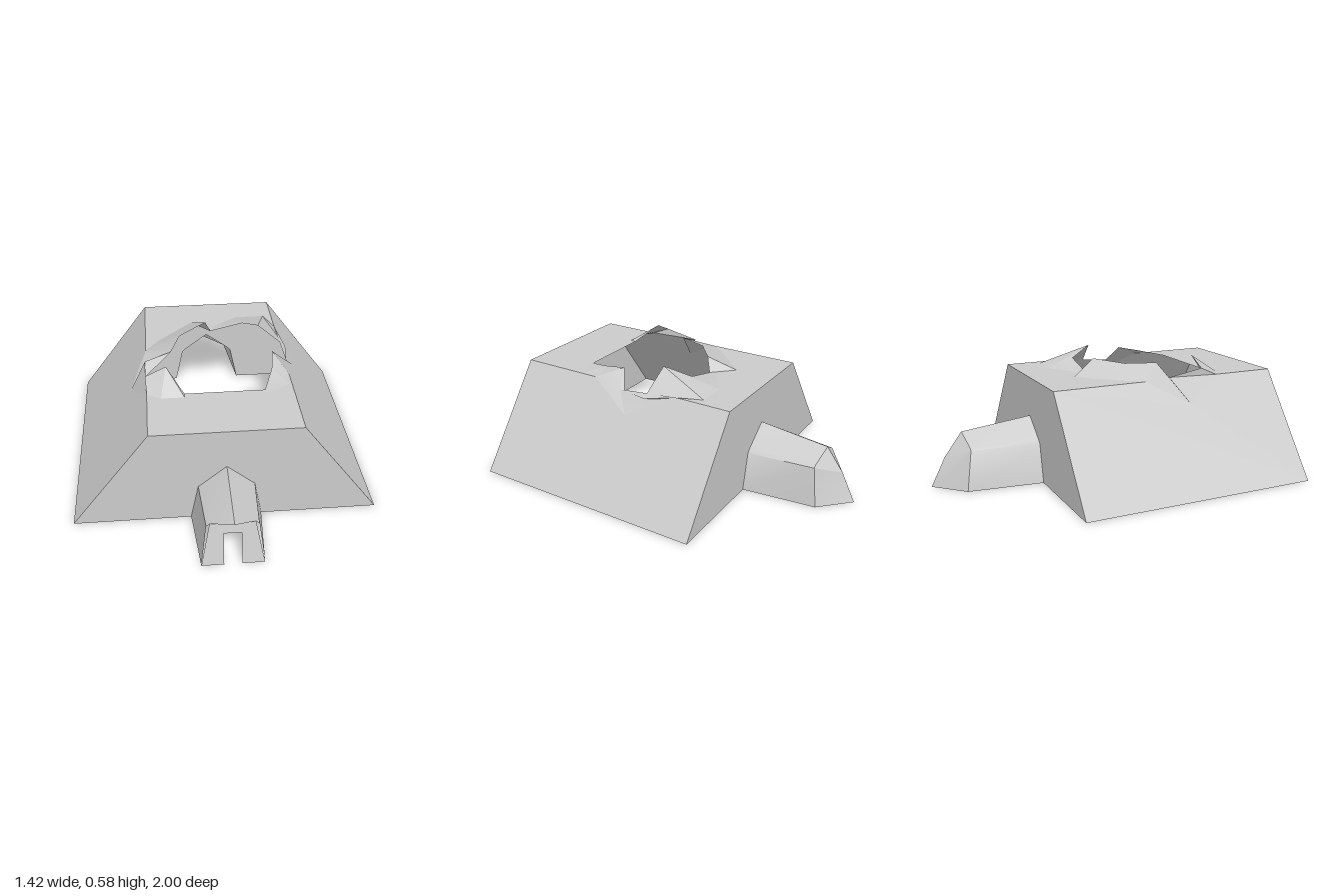
import * as THREE from 'three';
import { toCreasedNormals } from 'three/addons/utils/BufferGeometryUtils.js';

const V = (p) => new THREE.Vector3(...p);
const material = new THREE.MeshStandardMaterial({ color: 0xcccccc, side: THREE.DoubleSide });

// Mesh from triangles, each turned to face away from the given inner point
function shell(name, triangles, inner, crease = 0.3) {
  const position = [];
  for (const tri of triangles) {
    const [a, b, c] = tri.map(V);
    const normal = b.clone().sub(a).cross(c.clone().sub(a));
    if (normal.length() < 1e-7) continue;
    const centre = a.clone().add(b).add(c).divideScalar(3);
    const order = normal.dot(centre.sub(V(inner))) < 0 ? [a, c, b] : [a, b, c];
    order.forEach((p) => position.push(p.x, p.y, p.z));
  }
  const geometry = new THREE.BufferGeometry();
  geometry.setAttribute('position', new THREE.Float32BufferAttribute(position, 3));
  const mesh = new THREE.Mesh(toCreasedNormals(geometry, crease), material);
  mesh.name = name;
  return mesh;
}

// Triangles of a flat polygon, flattened along one axis (0 = x, 1 = y, 2 = z)
function polygon(points, axis) {
  const flat = points.map((p) => new THREE.Vector2(...p.filter((_, i) => i !== axis)));
  return THREE.ShapeUtils.triangulateShape(flat, []).map((t) => t.map((i) => points[i]));
}

// Triangles joining two rows of points
function strip(a, b) {
  const out = [];
  for (let i = 0; i < a.length - 1; i++) {
    out.push([a[i], b[i], b[i + 1]], [a[i], b[i + 1], a[i + 1]]);
  }
  return out;
}

// Half section from ground to ridge, completed by mirroring in x
const mirrored = (half) => [
  ...half,
  ...half.slice(0, -1).reverse().map(([x, y, z]) => [-x, y, z]),
];

const ROOF = 0.49, TOP = 0.345, FOOT = 0.71, FRONT = 0.675, BACK = -0.5;

// Torn rim of the roof opening, and the line where the tearing starts
const rim = [
  [-0.35, 0.5, 0.09], [-0.22, 0.55, 0.09], [-0.17, 0.55, -0.06], [-0.03, 0.56, -0.17],
  [0, 0.49, -0.2], [0.17, 0.53, -0.2], [0.235, 0.58, -0.08], [0.38, 0.46, -0.06],
  [0.36, 0.465, 0.09], [0.28, 0.545, 0.12], [0.26, 0.52, 0.24], [0.21, 0.49, 0.37],
  [-0.17, 0.49, 0.37], [-0.25, 0.58, 0.27], [-0.35, 0.53, 0.27],
];
const tear = [
  [-0.43, 0.376, 0.17], [-TOP, ROOF, -0.03], [-0.28, ROOF, -0.12], [-0.1, ROOF, -0.3],
  [0.02, ROOF, -0.25], [0.15, ROOF, -0.34], [0.3, ROOF, -0.34], [TOP, ROOF, -0.22],
  [0.43, 0.376, 0.02], [TOP, ROOF, 0.25], [0.335, ROOF, 0.33], [0.22, ROOF, 0.4],
  [-0.17, ROOF, 0.4], [-0.28, ROOF, 0.4], [-TOP, ROOF, 0.36],
];

// Sections of the two porches
const frontWallArch = mirrored([[0.165, 0, FRONT], [0.13, 0.185, FRONT], [0.105, 0.205, FRONT], [0, 0.295, FRONT]]);
const frontHood = mirrored([[0.14, 0, 0.98], [0.115, 0.19, 0.935], [0.1, 0.2, 0.93], [0, 0.255, 1]]);
const backWallArch = mirrored([[0.18, 0, BACK], [0.14, 0.185, BACK], [0.12, 0.205, BACK], [0, 0.295, BACK]]);
const backEnd = mirrored([[0.14, 0, -0.86], [0.115, 0.19, -0.83], [0.1, 0.2, -0.83], [0, 0.255, -0.845]]);
const noseSpine = mirrored([[0, 0, -1], [0, 0.14, -0.93], [0, 0.16, -0.915], [0, 0.255, -0.845]]);

export function createModel() {
  const group = new THREE.Group();
  const middle = [0, 0.2, 0.1];

  // End walls with arched openings
  for (const [name, z, arch] of [['frontWall', FRONT, frontWallArch], ['backWall', BACK, backWallArch]]) {
    const outline = [[-FOOT, 0, z], [-TOP, ROOF, z], [TOP, ROOF, z], [FOOT, 0, z], ...arch];
    group.add(shell(name, polygon(outline, 2), middle));
  }

  // Sloping side walls, notched at the top by the tear
  for (const [name, s, notch] of [
    ['rightSlope', 1, tear.slice(7, 10)],
    ['leftSlope', -1, [tear[1], tear[0], tear[14]]],
  ]) {
    const outline = [
      [s * FOOT, 0, FRONT], [s * FOOT, 0, BACK], [s * TOP, ROOF, BACK],
      ...notch, [s * TOP, ROOF, FRONT],
    ];
    group.add(shell(name, polygon(outline, 0), middle));
  }

  // Flat roof either side of the opening
  const backRoof = [[TOP, ROOF, BACK], [-TOP, ROOF, BACK], ...tear.slice(1, 8)];
  const frontRoof = [[-TOP, ROOF, FRONT], [TOP, ROOF, FRONT], ...tear.slice(9)];
  group.add(shell('backRoof', polygon(backRoof, 1), middle));
  group.add(shell('frontRoof', polygon(frontRoof, 1), middle));

  // Bent, torn edge around the opening
  const collar = strip([...tear, tear[0]], [...rim, rim[0]]);
  group.add(shell('tornRoofEdge', collar, [0, -2, 0.1]));

  // Front porch with overhanging hood
  group.add(shell('frontPorch', strip(frontWallArch, frontHood), [0, 0.05, 0.8], 0.7));

  // Leaning front panel with a narrow doorway
  const lean = ([x, y]) => [x, y, 0.98 - 0.25 * y];
  const panel = [
    [-0.14, 0], [-0.1, 0.2], [0, 0.24], [0.1, 0.2], [0.14, 0],
    [0.04, 0], [0.04, 0.15], [-0.04, 0.15], [-0.04, 0],
  ].map(lean);
  group.add(shell('doorPanel', polygon(panel, 2), [0, 0.1, 0.7]));

  // Back porch and its pointed nose
  group.add(shell('backPorch', strip(backWallArch, backEnd), [0, 0.05, -0.7], 0.7));
  group.add(shell('backNose', strip(backEnd, noseSpine), [0, 0.05, -0.7], 0.3));

  return group;
}
